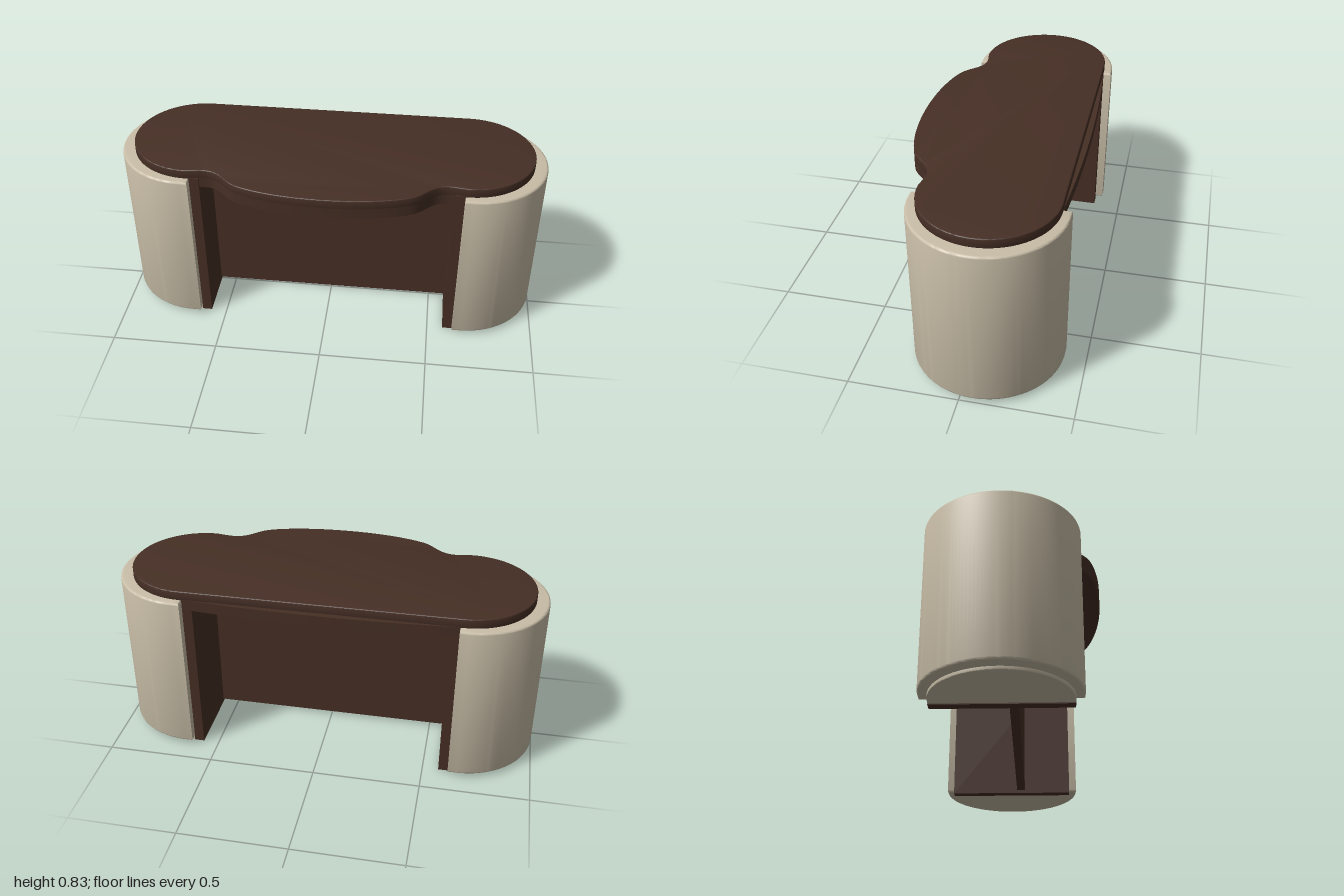
import * as THREE from 'three';
import { toCreasedNormals } from 'three/addons/utils/BufferGeometryUtils.js';

const wood = new THREE.MeshStandardMaterial({ color: 0x462f25 });
wood.name = 'dark wood';
const cream = new THREE.MeshStandardMaterial({ color: 0xc8bda7 });
cream.name = 'cream';

const CZ = -0.06; // centre line of the rounded ends
const R = 0.305; // radius of the desk top's ends
const BACK = CZ - R, FRONT = CZ + R;

// Extrudes a plan outline (shape y = -z) upwards from y0 to y1 with softened edges
function slab(name, shape, y0, y1, bevel, material) {
  const geo = new THREE.ExtrudeGeometry(shape, {
    depth: y1 - y0 - 2 * bevel, curveSegments: 32, bevelEnabled: bevel > 0,
    bevelSize: bevel, bevelThickness: bevel, bevelOffset: -bevel, bevelSegments: 3,
  });
  geo.translate(0, 0, y0 + bevel);
  geo.rotateX(-Math.PI / 2);
  const mesh = new THREE.Mesh(toCreasedNormals(geo, 0.6), material);
  mesh.name = name;
  return mesh;
}

// Front edge from left to right, swelling out over the knee space
function frontEdge(s) {
  s.bezierCurveTo(-0.47, -0.225, -0.46, -0.3, -0.39, -0.335);
  s.bezierCurveTo(-0.2, -0.42, 0.2, -0.42, 0.39, -0.335);
  s.bezierCurveTo(0.46, -0.3, 0.47, -0.225, 0.57, -0.235);
}

// Half-round plan with its flat side at x0, bulging towards side * x
function halfRound(side, x0, xc, r) {
  const s = new THREE.Shape();
  const a = Math.PI / 2;
  s.moveTo(side * x0, -CZ - r);
  s.lineTo(side * xc, -CZ - r);
  s.absarc(side * xc, -CZ, r, -a, side > 0 ? a : -3 * a, side < 0);
  s.lineTo(side * x0, -CZ + r);
  s.closePath();
  return s;
}

function box(name, x, y0, y1, z0, z1, w) {
  const mesh = new THREE.Mesh(new THREE.BoxGeometry(w, y1 - y0, z1 - z0), wood);
  mesh.position.set(x, (y0 + y1) / 2, (z0 + z1) / 2);
  mesh.name = name;
  return mesh;
}

export function createModel() {
  const desk = new THREE.Group();
  desk.name = 'desk';

  // Desk top with round ends
  const top = new THREE.Shape();
  top.moveTo(-0.635, -FRONT);
  top.lineTo(-0.57, -0.235);
  frontEdge(top);
  top.lineTo(0.635, -FRONT);
  top.absarc(0.635, -CZ, R, -Math.PI / 2, Math.PI / 2, false);
  top.lineTo(-0.635, -BACK);
  top.absarc(-0.635, -CZ, R, Math.PI / 2, Math.PI * 1.5, false);
  desk.add(slab('deskTop', top, 0.785, 0.83, 0.004, wood));

  // Thicker middle under the top, gently bowed at the back
  const under = new THREE.Shape();
  under.moveTo(-0.615, -0.235);
  under.lineTo(-0.57, -0.235);
  frontEdge(under);
  under.lineTo(0.615, -0.235);
  under.lineTo(0.615, -BACK);
  under.quadraticCurveTo(0, 0.418, -0.615, -BACK);
  desk.add(slab('topApron', under, 0.74, 0.79, 0, wood));

  // Modesty panel across the knee space
  desk.add(box('modestyPanel', 0, 0.015, 0.745, -0.03, 0.01, 1.16));

  // Half-round pedestals, each with a plinth and an inner side panel
  for (const side of [-1, 1]) {
    const pedestal = new THREE.Group();
    pedestal.name = side > 0 ? 'leftPedestal' : 'rightPedestal';
    pedestal.add(
      slab('pedestalShell', halfRound(side, 0.62, 0.657, 0.343), 0.02, 0.788, 0.01, cream),
      slab('pedestalPlinth', halfRound(side, 0.62, 0.635, R), 0.004, 0.04, 0.004, cream),
      box('innerPanel', side * 0.598, 0, 0.79, BACK, FRONT, 0.046),
    );
    desk.add(pedestal);
  }
  return desk;
}
